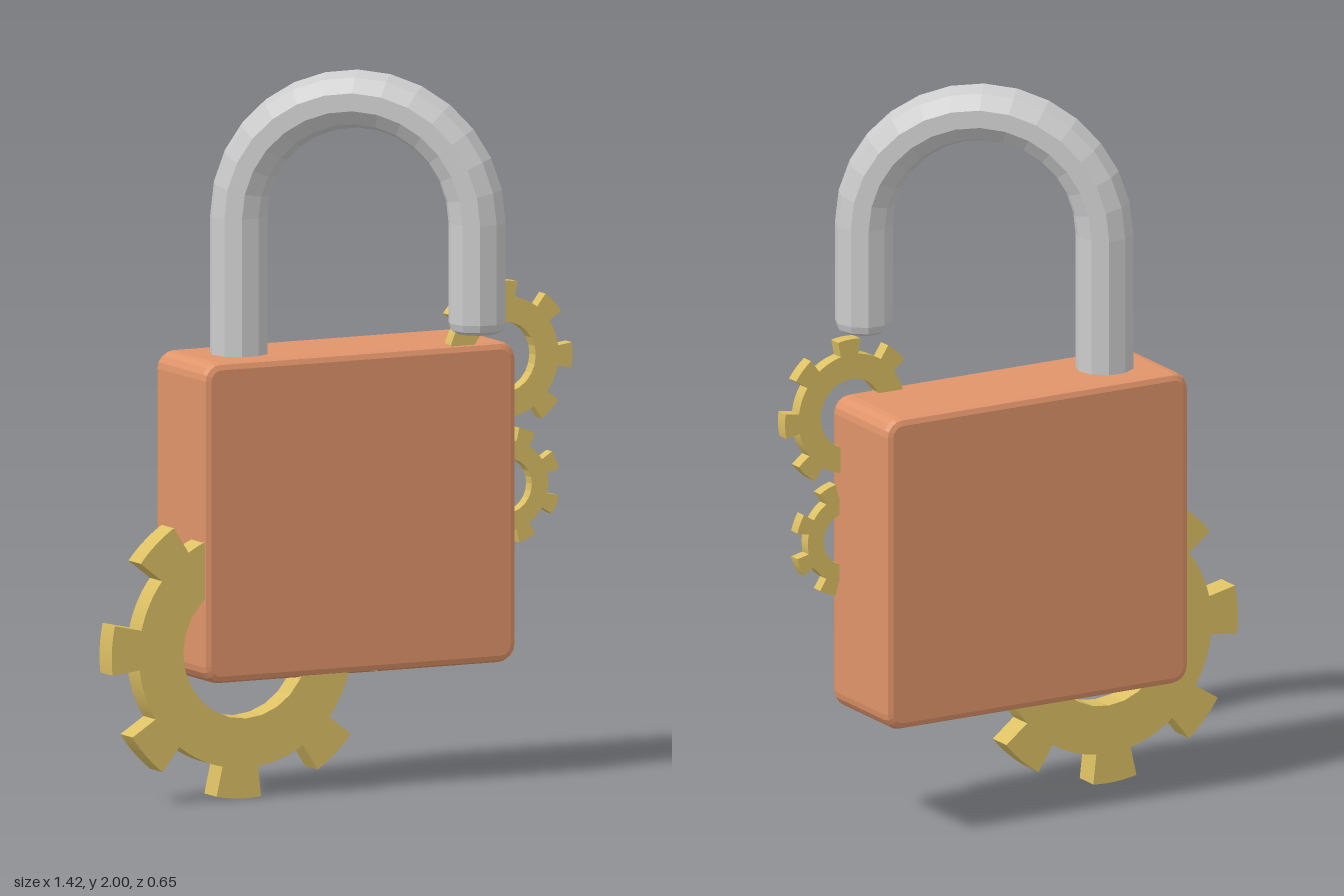
import * as THREE from 'three';

const material = (color) => new THREE.MeshStandardMaterial({ color, flatShading: true });

function addMesh(parent, name, geometry, mat) {
  const mesh = new THREE.Mesh(geometry, mat);
  mesh.name = name;
  parent.add(mesh);
  return mesh;
}

// Ring gear with eight radial-sided teeth; phase is the angle of one tooth in degrees
function gearGeometry(outer, root, hole, depth, phase) {
  const teeth = 8, step = (Math.PI * 2) / teeth, half = 0.167;
  const shape = new THREE.Shape();
  for (let i = 0; i < teeth; i++) {
    const a = THREE.MathUtils.degToRad(phase) + i * step;
    shape.absarc(0, 0, outer, a - half, a + half, false);
    shape.absarc(0, 0, root, a + half, a + step - half, false);
  }
  shape.closePath();
  shape.holes.push(new THREE.Path().absarc(0, 0, hole, 0, Math.PI * 2, true));
  return new THREE.ExtrudeGeometry(shape, { depth, bevelEnabled: false, curveSegments: 12 });
}

// Slab with rounded corners and softly bevelled edges, centred on its origin
function bodyGeometry(w, h, d, r, bevel) {
  const x = w / 2 - bevel, y = h / 2 - bevel, c = r - bevel;
  const s = new THREE.Shape();
  s.absarc(x - c, y - c, c, 0, Math.PI / 2, false);
  s.absarc(-x + c, y - c, c, Math.PI / 2, Math.PI, false);
  s.absarc(-x + c, -y + c, c, Math.PI, Math.PI * 1.5, false);
  s.absarc(x - c, -y + c, c, Math.PI * 1.5, Math.PI * 2, false);
  s.closePath();
  return new THREE.ExtrudeGeometry(s, {
    depth: d - 2 * bevel, bevelThickness: bevel, bevelSize: bevel, bevelSegments: 2, curveSegments: 2,
  }).translate(0, 0, -d / 2 + bevel);
}

export function createModel() {
  const model = new THREE.Group();
  model.name = 'openPadlockWithGears';
  const copper = material(0xe0946a), brass = material(0xdcc064), steel = material(0xcccccc);

  // Lock body
  addMesh(model, 'lockBody', bodyGeometry(0.96, 0.885, 0.3, 0.05, 0.02), copper)
    .position.set(0.05, 0.767, -0.173);

  // Shackle, swung open around its fixed leg
  const shackle = new THREE.Group();
  shackle.name = 'shackle';
  const R = 0.332, tube = 0.08, sides = 10, spring = 1.59;
  shackle.position.set(0.0075, 0, 0.04);
  shackle.rotation.y = -Math.atan2(0.42, 0.515);
  model.add(shackle);
  addMesh(shackle, 'shackleArch', new THREE.TorusGeometry(R, tube, sides, 14, Math.PI), steel)
    .position.y = spring;
  const leg = (name, x, bottom) => {
    const profile = [[0, bottom], [0.055, bottom], [0.074, bottom + 0.01], [tube, bottom + 0.03], [tube, spring]];
    const geometry = new THREE.LatheGeometry(profile.map(([r, y]) => new THREE.Vector2(r, y)), sides);
    const mesh = addMesh(shackle, name, geometry, steel);
    mesh.position.x = x;
    mesh.rotation.y = Math.PI / 2;
  };
  leg('fixedLeg', -R, 1.1);
  leg('freeLeg', R, 1.285);

  // Gears: name, centre x, y, back z, then outer, root and hole radius, depth, phase
  for (const [name, x, y, z, ...size] of [
    ['largeGear', -0.3, 0.415, -0.105, 0.412, 0.328, 0.192, 0.073, -3],
    ['mediumGear', 0.495, 1.165, -0.073, 0.211, 0.168, 0.098, 0.038, -2],
    ['smallGear', 0.505, 0.81, -0.067, 0.162, 0.125, 0.075, 0.034, 22.5],
  ]) addMesh(model, name, gearGeometry(...size), brass).position.set(x, y, z);

  return model;
}
